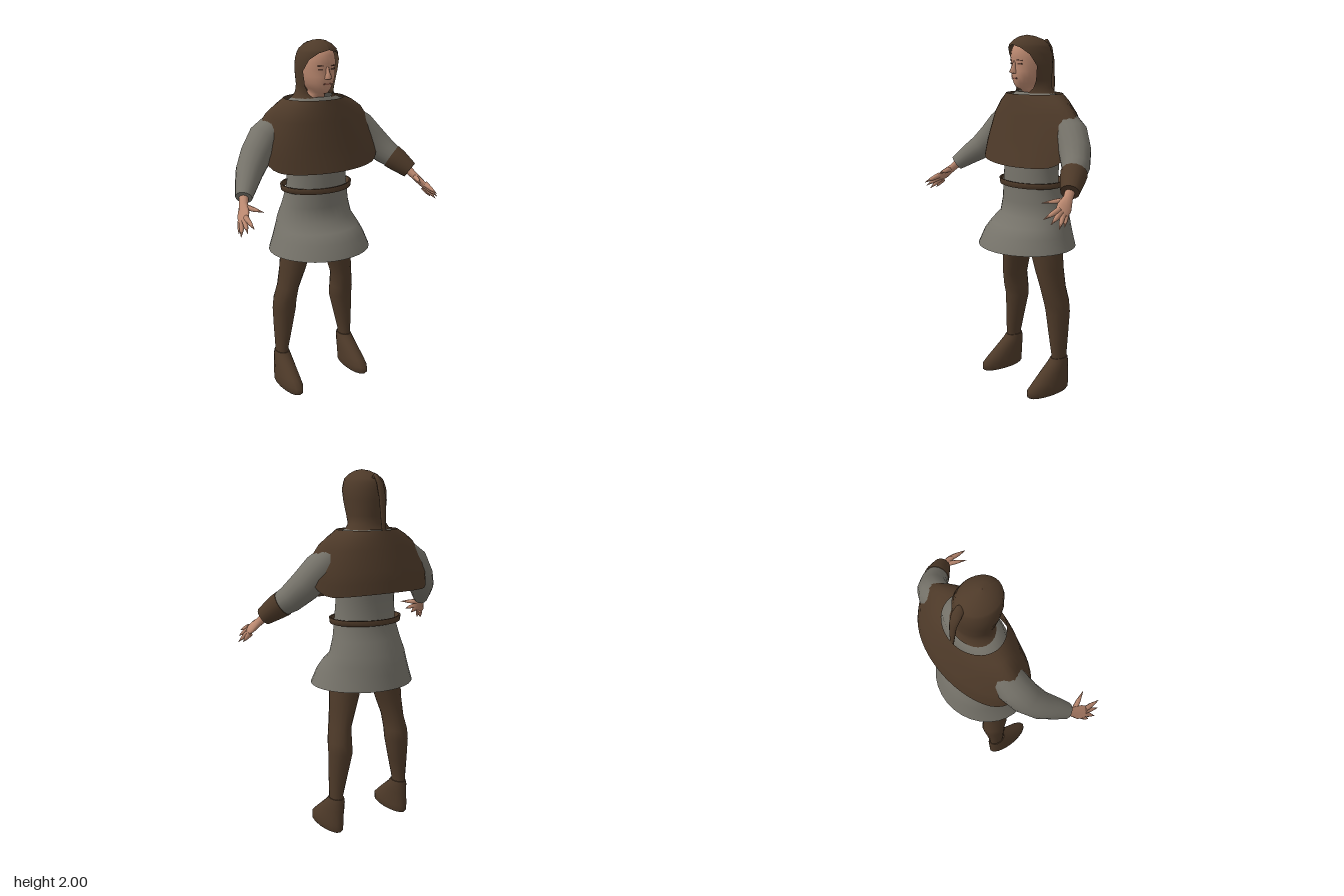
import * as THREE from 'three';

const mat = (name, color, side = THREE.FrontSide) => {
  const m = new THREE.MeshStandardMaterial({ color, side });
  m.name = name;
  return m;
};
const V = (x, y, z) => new THREE.Vector3(x, y, z);

// Skin a list of rings (equal point counts); optional end caps
function loft(rings, { closed = true, caps = false } = {}) {
  const n = rings[0].length, pos = [], idx = [];
  rings.forEach(r => r.forEach(p => pos.push(p.x, p.y, p.z)));
  for (let i = 0; i < rings.length - 1; i++) {
    for (let j = 0; j < (closed ? n : n - 1); j++) {
      const k = (j + 1) % n, a = i * n + j, b = i * n + k;
      idx.push(a, b, a + n, b, b + n, a + n);
    }
  }
  if (caps) {
    for (const end of [0, rings.length - 1]) {
      const c = rings[end].reduce((s, p) => s.add(p), V(0, 0, 0)).divideScalar(n);
      const base = pos.length / 3;
      [c, ...rings[end]].forEach(p => pos.push(p.x, p.y, p.z));
      for (let j = 0; j < n; j++) {
        const p = base + 1 + j, q = base + 1 + (j + 1) % n;
        idx.push(base, ...(end ? [p, q] : [q, p]));
      }
    }
  }
  const g = new THREE.BufferGeometry();
  g.setAttribute('position', new THREE.Float32BufferAttribute(pos, 3));
  g.setIndex(idx);
  g.computeVertexNormals();
  return g;
}

// Horizontal oval from front z to back z; "open" leaves a gap of that half angle at the front
function oval(y, cx, rx, zf, zb, n = 24, open = null) {
  const cz = (zf + zb) / 2, rz = (zf - zb) / 2, pts = [];
  for (let j = 0; j < n; j++) {
    const t = open === null ? j / n * Math.PI * 2 : open + j / (n - 1) * (Math.PI * 2 - 2 * open);
    pts.push(V(cx + rx * Math.sin(t), y, cz + rz * Math.cos(t)));
  }
  return pts;
}

// Limb along stations [x, y, z, radius, thickness]; s mirrors it in x
function limb(stations, s = 1, n = 12) {
  const c = stations.map(p => V(p[0] * s, p[1], p[2]));
  const ref = V(0.78 * s, 0.62, 0);
  const rings = c.map((p, i) => {
    const T = c[Math.min(i + 1, c.length - 1)].clone().sub(c[Math.max(i - 1, 0)]).normalize();
    const U = ref.clone().cross(T).normalize(), W = T.clone().cross(U);
    const ra = stations[i][3], rb = stations[i][4] ?? ra;
    return Array.from({ length: n }, (_, j) => {
      const t = j / n * Math.PI * 2;
      return p.clone().addScaledVector(U, ra * Math.cos(t)).addScaledVector(W, rb * Math.sin(t));
    });
  });
  return loft(rings, { caps: true });
}

export function createModel() {
  const root = new THREE.Group();
  root.name = 'hoodedFigure';
  const brown = mat('brownCloth', 0x4e3a29, THREE.DoubleSide);
  const grey = mat('greyCloth', 0x76736a, THREE.DoubleSide);
  const skin = mat('skin', 0xbd8a71);
  const dark = mat('darkFeature', 0x5a3c30);
  const lip = mat('lip', 0x8f5848);
  const add = (name, geo, m, parent = root) => {
    const mesh = new THREE.Mesh(geo, m);
    mesh.name = name;
    parent.add(mesh);
    return mesh;
  };

  // Tunic: flared skirt, waist, shoulders, collar [y, rx, zFront, zBack]
  add('tunic', loft([
    [0.84, 0.295, 0.235, -0.30], [0.92, 0.265, 0.2, -0.285], [0.97, 0.245, 0.155, -0.275],
    [1.02, 0.225, 0.09, -0.262], [1.1, 0.2, 0.08, -0.235], [1.2, 0.18, 0.08, -0.2],
    [1.32, 0.17, 0.075, -0.205], [1.45, 0.18, 0.07, -0.21], [1.58, 0.22, 0.06, -0.21],
    [1.66, 0.2, 0.035, -0.2], [1.7, 0.11, 0.01, -0.175],
  ].map(([y, rx, f, b]) => oval(y, 0, rx, f, b, 32))), grey);

  // Loose belt
  const belt = new THREE.LatheGeometry([[0.93, -0.015], [1, -0.015], [1.02, 0.015], [0.95, 0.015], [0.93, -0.015]]
    .map(p => new THREE.Vector2(...p)), 32);
  belt.scale(0.208, 1, 0.163);
  belt.translate(0, 1.2, -0.066);
  add('belt', belt, brown);

  // Shoulder cape: hem rises over the arms
  const hem = t => 1.34 - 0.03 * Math.cos(t) + 0.13 * Math.pow(Math.sin(t), 14);
  add('cape', loft([
    [0, 0.385, 0.14, -0.305], [0.18, 0.375, 0.125, -0.297], [0.36, 0.355, 0.11, -0.287],
    [0.7, 0.295, 0.088, -0.257], [0.88, 0.235, 0.073, -0.24], [1, 0.175, 0.062, -0.226],
  ].map(([v, rx, f, b]) => oval(0, 0.01 * (1 - v), rx, f, b, 48).map((p, j) => {
    p.y = THREE.MathUtils.lerp(hem(j / 48 * Math.PI * 2), 1.69, v);
    return p;
  }))), brown);

  // Head [y, rx, zFront, zBack]
  const headRows = [
    [1.66, 0.05, -0.03, -0.14], [1.71, 0.045, 0.0, -0.14], [1.722, 0.04, 0.035, -0.13],
    [1.745, 0.06, 0.048, -0.13], [1.775, 0.078, 0.055, -0.14], [1.81, 0.088, 0.058, -0.15],
    [1.85, 0.094, 0.052, -0.155], [1.88, 0.094, 0.06, -0.155], [1.92, 0.088, 0.054, -0.15],
    [1.95, 0.075, 0.038, -0.13], [1.97, 0.04, 0.0, -0.08],
  ];
  add('head', loft(headRows.map(([y, rx, f, b]) => oval(y, 0, rx, f, b)), { caps: true }), skin);

  // Nose: a small wedge
  add('nose', loft([
    oval(1.798, 0, 0.018, 0.068, 0.03, 8), oval(1.806, 0, 0.02, 0.086, 0.03, 8),
    oval(1.83, 0, 0.011, 0.073, 0.03, 8), oval(1.865, 0, 0.008, 0.058, 0.03, 8),
  ], { caps: true }), skin);

  // Eyes, brows and mouth as thin plates
  const plate = (name, w, h, x, y, z, yaw, m) => {
    const p = add(name, new THREE.BoxGeometry(w, h, 0.008), m);
    p.position.set(x, y, z);
    p.rotation.y = yaw;
  };
  for (const s of [-1, 1]) {
    plate('eye', 0.026, 0.007, s * 0.038, 1.85, 0.043, s * 0.42, dark);
    plate('brow', 0.034, 0.005, s * 0.038, 1.868, 0.047, s * 0.42, dark);
  }
  plate('mouth', 0.044, 0.007, 0, 1.773, 0.053, 0, lip);

  // Hood with face opening [y, rx, zFront, zBack, open half angle]
  add('hood', loft([
    [1.69, 0.13, 0.015, -0.19, 0.4], [1.72, 0.108, 0.012, -0.175, 0.8], [1.76, 0.105, 0.035, -0.175, 1.1],
    [1.84, 0.117, 0.06, -0.18, 1.2], [1.9, 0.115, 0.072, -0.178, 0.95], [1.935, 0.104, 0.072, -0.168, 0.55],
    [1.95, 0.097, 0.068, -0.16, 0], [1.975, 0.07, 0.045, -0.13, 0], [1.993, 0.035, 0.01, -0.08, 0],
    [2.0, 0.002, -0.03, -0.034, 0],
  ].map(([y, rx, f, b, a]) => oval(y, 0, rx, f, b, 29, a)), { closed: false }), brown);

  // Hanging hood tail
  add('hoodTail', limb([
    [0, 1.93, -0.13, 0.012, 0.02], [-0.005, 1.96, -0.16, 0.012, 0.026], [-0.008, 1.93, -0.185, 0.012, 0.026],
    [-0.008, 1.86, -0.206, 0.012, 0.022], [-0.008, 1.75, -0.216, 0.01, 0.016], [-0.008, 1.66, -0.222, 0.006, 0.01],
  ]), brown);

  for (const s of [-1, 1]) {
    const side = s > 0 ? 'left' : 'right';

    // Sleeve
    add(side + 'Sleeve', limb([
      [0.2, 1.57, -0.1, 0.08], [0.31, 1.49, -0.09, 0.09], [0.38, 1.41, -0.06, 0.085],
      [0.44, 1.345, -0.015, 0.074], [0.49, 1.295, 0.045, 0.06], [0.535, 1.245, 0.1, 0.044],
    ], s, 16), grey);

    // Hand with pointed fingers [tip, root]
    const hand = new THREE.Group();
    hand.name = side + 'Hand';
    root.add(hand);
    add('palm', limb([
      [0.525, 1.255, 0.085, 0.026], [0.55, 1.215, 0.125, 0.026, 0.02],
      [0.572, 1.18, 0.165, 0.04, 0.016], [0.588, 1.155, 0.195, 0.036, 0.012],
    ], s), skin, hand);
    [
      [[0.58, 1.14, 0.3], [0.577, 1.175, 0.2]],
      [[0.605, 1.115, 0.275], [0.583, 1.162, 0.195]],
      [[0.625, 1.09, 0.24], [0.59, 1.15, 0.185]],
      [[0.618, 1.095, 0.2], [0.59, 1.145, 0.168]],
      [[0.5, 1.2, 0.25], [0.55, 1.21, 0.14]],
    ].forEach(([tip, base], i) => {
      const mid = base.map((b, k) => b + (tip[k] - b) * 0.5);
      add(i === 4 ? 'thumb' : 'finger', limb([[...base, 0.016], [...mid, 0.012], [...tip, 0.001]], s, 6), skin, hand);
    });

    // Legging [y, centre x, rx, zFront, zBack]
    add(side + 'Legging', loft([
      [0.16, 0.22, 0.034, -0.05, -0.148], [0.22, 0.222, 0.035, -0.05, -0.148], [0.34, 0.21, 0.052, -0.042, -0.162],
      [0.47, 0.196, 0.068, -0.035, -0.178], [0.53, 0.195, 0.064, -0.02, -0.176], [0.61, 0.184, 0.056, -0.002, -0.162],
      [0.72, 0.158, 0.07, 0.015, -0.162], [0.84, 0.135, 0.088, 0.03, -0.165], [0.98, 0.1, 0.098, 0.035, -0.18],
    ].map(([y, x, rx, f, b]) => oval(y, x * s, rx, f, b, 16)), { caps: true }), brown);

    // Shoe [y, centre x, rx, zFront, zBack]
    add(side + 'Shoe', loft([
      [0, 0.228, 0.045, 0.115, -0.145], [0.012, 0.228, 0.055, 0.13, -0.155], [0.045, 0.228, 0.057, 0.128, -0.157],
      [0.08, 0.227, 0.055, 0.09, -0.157], [0.13, 0.224, 0.051, 0.03, -0.157], [0.175, 0.222, 0.046, -0.025, -0.157],
      [0.2, 0.221, 0.04, -0.045, -0.153],
    ].map(([y, x, rx, f, b]) => oval(y, x * s, rx, f, b, 16)), { caps: true }), brown);
  }

  // Cuff on the left forearm only
  add('leftCuff', limb([
    [0.468, 1.317, 0.018, 0.07], [0.49, 1.295, 0.045, 0.066], [0.538, 1.242, 0.103, 0.049],
  ], 1, 16), brown);

  return root;
}
